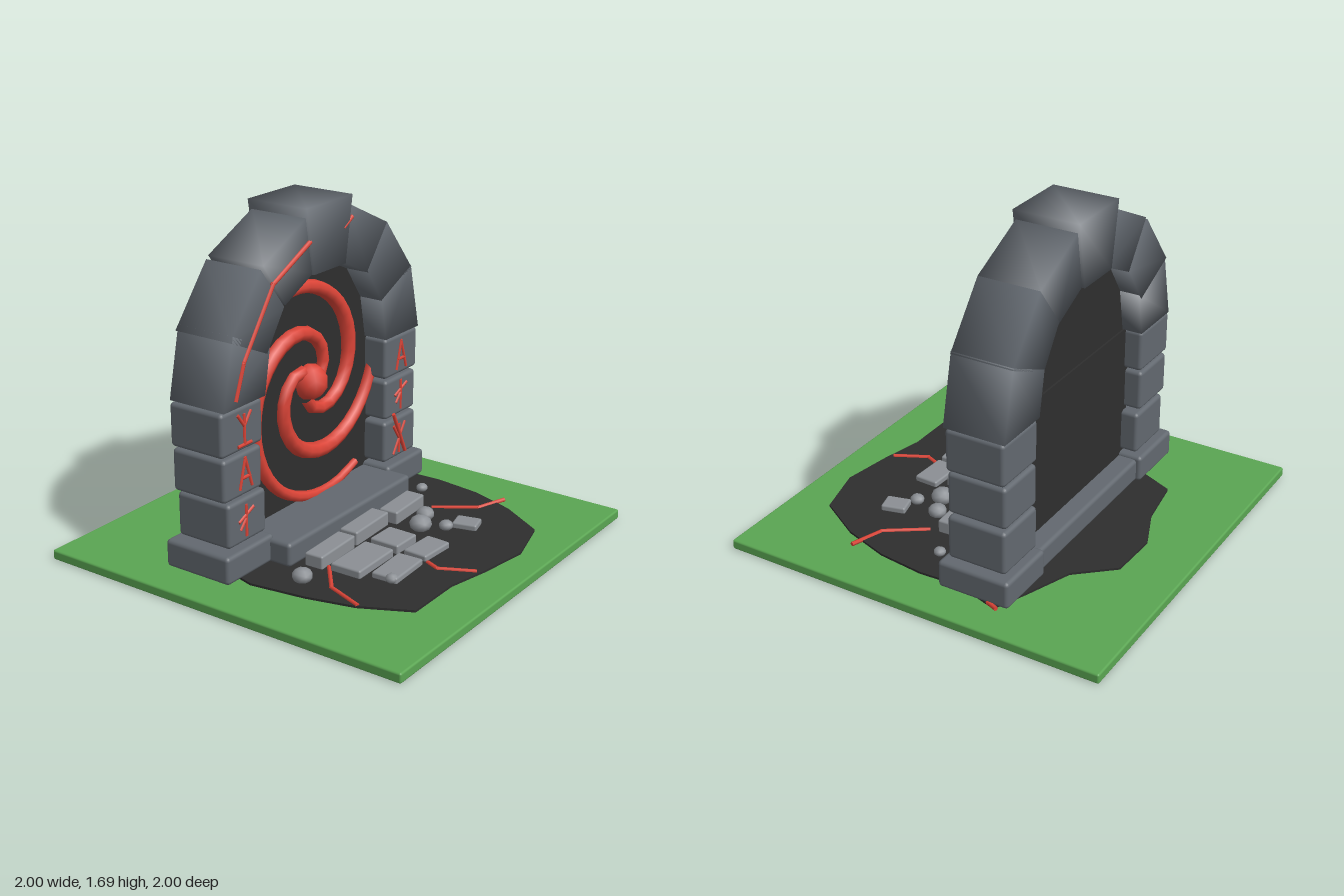
import * as THREE from 'three';
import { RoundedBoxGeometry } from 'three/addons/geometries/RoundedBoxGeometry.js';

const mat = (name, color, extra = {}) => {
  const m = new THREE.MeshStandardMaterial({ color, ...extra });
  m.name = name;
  return m;
};

export function createModel() {
  const root = new THREE.Group();
  root.name = 'ruinedPortal';
  const grass = mat('grass green', 0x5aa552);
  const stone = mat('dark stone', 0x62686f);
  const paving = mat('pale stone', 0x8b8f94);
  const scorch = mat('scorched black', 0x2e2e2e, { side: THREE.DoubleSide });
  const glow = mat('glowing red', 0xdb4437);

  const add = (name, geo, material, x = 0, y = 0, z = 0, parent = root) => {
    const m = new THREE.Mesh(geo, material);
    m.name = name;
    m.position.set(x, y, z);
    parent.add(m);
    return m;
  };
  // Rounded block given by its limits
  const block = (name, x0, x1, y0, y1, z0, z1, material = stone, r = 0.015) =>
    add(name, new RoundedBoxGeometry(x1 - x0, y1 - y0, z1 - z0, 2, r), material,
      (x0 + x1) / 2, (y0 + y1) / 2, (z0 + z1) / 2);
  // Chain of thin straight rods through a list of points
  const rods = (name, pts, r) => {
    const g = new THREE.Group();
    g.name = name;
    root.add(g);
    for (let i = 1; i < pts.length; i++) {
      const a = new THREE.Vector3(...pts[i - 1]), b = new THREE.Vector3(...pts[i]);
      const d = b.clone().sub(a), mid = a.clone().add(b).multiplyScalar(0.5);
      const m = add(name + 'Stroke', new THREE.CylinderGeometry(r, r, d.length() + r, 6), glow, mid.x, mid.y, mid.z, g);
      m.quaternion.setFromUnitVectors(new THREE.Vector3(0, 1, 0), d.normalize());
    }
  };

  // Ground and scorched patch
  block('ground', -1, 1, 0, 0.05, -1, 1, grass, 0.01);
  const outline = [[-0.48, -0.59], [-0.22, -0.63], [0, -0.72], [0.26, -0.71], [0.42, -0.53], [0.66, -0.44],
    [0.83, -0.37], [0.76, -0.15], [0.77, 0.07], [0.74, 0.31], [0.66, 0.55], [0.52, 0.78], [0.26, 0.85],
    [0, 0.81], [-0.22, 0.76], [-0.52, 0.76], [-0.64, 0.52], [-0.7, 0.28], [-0.74, 0], [-0.68, -0.22], [-0.57, -0.39]];
  const patch = new THREE.ExtrudeGeometry(new THREE.Shape(outline.map(([x, z]) => new THREE.Vector2(x, -z))),
    { depth: 0.012, bevelEnabled: false });
  add('scorchedPatch', patch.rotateX(-Math.PI / 2), scorch, 0, 0.049, 0);

  // Footings, threshold and pillars
  block('leftFooting', 0.48, 0.815, 0.055, 0.193, -0.435, -0.06, stone, 0.02);
  block('rightFooting', -0.82, -0.475, 0.055, 0.193, -0.435, -0.06, stone, 0.02);
  block('threshold', -0.51, 0.51, 0.055, 0.176, -0.41, 0.055, stone, 0.02);
  [[-0.765, -0.49, 0.205, 0.425], [-0.79, -0.515, 0.44, 0.65], [-0.8, -0.505, 0.662, 0.876],
    [0.495, 0.778, 0.205, 0.425], [0.5, 0.772, 0.44, 0.65], [0.495, 0.785, 0.662, 0.876]]
    .forEach(b => block('pillarBlock', ...b, -0.4, -0.095, stone, 0.02));

  // Arch stones: four-cornered wedges with softened shading
  const wedge = (name, pts, z0, z1) => {
    const pos = [];
    for (const z of [z0, z1]) pts.forEach(([x, y]) => pos.push(x, y, z));
    const idx = [4, 5, 6, 4, 6, 7, 0, 2, 1, 0, 3, 2];
    for (let i = 0; i < 4; i++) {
      const j = (i + 1) % 4;
      idx.push(i, j, j + 4, i, j + 4, i + 4);
    }
    const g = new THREE.BufferGeometry();
    g.setAttribute('position', new THREE.Float32BufferAttribute(pos, 3));
    g.setIndex(idx);
    g.computeVertexNormals();
    add(name, g, stone);
  };
  const side = [
    [[0.49, 0.88], [0.785, 0.88], [0.71, 1.22], [0.45, 1.1]],
    [[0.455, 1.09], [0.715, 1.21], [0.49, 1.49], [0.325, 1.28]],
    [[0.33, 1.27], [0.49, 1.49], [0.165, 1.645], [0.12, 1.37]]];
  side.forEach((pts, i) => {
    wedge('leftArchStone', pts, -0.405, -0.09);
    const shift = i === 1 ? -0.015 : 0;
    wedge('rightArchStone', pts.map(([x, y]) => [-x + shift, y + shift]).reverse(), -0.405, -0.09);
  });
  wedge('keystone', [[-0.125, 1.365], [0.125, 1.365], [0.18, 1.69], [-0.18, 1.69]], -0.42, -0.078);

  // Dark portal: lower panel and half-round top
  add('portalPanel', new THREE.BoxGeometry(1.08, 0.74, 0.09), scorch, 0, 0.51, -0.265);
  const half = new THREE.Shape();
  half.absarc(0, 0, 0.54, 0, Math.PI, false);
  add('portalTop', new THREE.ExtrudeGeometry(half, { depth: 0.08, bevelEnabled: false, curveSegments: 16 }),
    scorch, 0, 0.88, -0.3);

  // Swirl: three tapered spiral arms around a core
  const swirl = new THREE.Group();
  swirl.name = 'swirl';
  swirl.position.set(0, 0.78, -0.205);
  root.add(swirl);
  const pts = [];
  for (let i = 0; i <= 20; i++) {
    const t = i / 20, a = THREE.MathUtils.degToRad(10 + 295 * t), r = 0.085 + 0.585 * t;
    pts.push(new THREE.Vector3(Math.cos(a) * r, Math.sin(a) * r, 0));
  }
  const path = new THREE.CatmullRomCurve3(pts);
  const segs = 28, sides = 7;
  const arm = new THREE.TubeGeometry(path, segs, 0.042, sides);
  const p = arm.attributes.position, v = new THREE.Vector3();
  for (let i = 0; i < p.count; i++) {
    const t = Math.floor(i / (sides + 1)) / segs, c = path.getPointAt(t);
    const k = t < 0.3 ? 0.75 + t * 0.83 : 1 - (t - 0.3) * 0.75;
    v.fromBufferAttribute(p, i).sub(c).multiplyScalar(k).add(c);
    p.setXYZ(i, v.x, v.y, v.z);
  }
  for (let i = 0; i < 3; i++) add('swirlArm', arm, glow, 0, 0, 0, swirl).rotation.z = i * Math.PI * 2 / 3;
  add('swirlCore', new THREE.IcosahedronGeometry(0.093, 1), glow, 0, 0, 0, swirl);

  // Carved signs on the pillars
  const signs = {
    fork: [[[0, -0.075], [0, 0.07]], [[-0.045, 0.075], [0, 0.015], [0.045, 0.075]], [[-0.045, -0.075], [0.045, -0.075]]],
    peak: [[[-0.04, -0.07], [0, 0.075], [0.045, -0.07]], [[-0.025, -0.02], [0.03, -0.02]]],
    staff: [[[0, -0.075], [0, 0.075]], [[-0.05, 0.005], [0.05, 0.05]], [[-0.04, -0.035], [0, 0.01]]],
    cross: [[[-0.05, -0.075], [0.05, 0.075]], [[-0.05, 0.075], [0.05, -0.075]], [[0, -0.075], [0, 0.075]]]
  };
  [['fork', -0.64, 0.765], ['peak', -0.64, 0.55], ['staff', -0.64, 0.315],
    ['peak', 0.635, 0.765], ['staff', 0.635, 0.55], ['cross', 0.625, 0.31]].forEach(([kind, x, y]) =>
    signs[kind].forEach(s => rods('carvedSign', s.map(q => [x + q[0], y + q[1], -0.095]), 0.009)));

  // Glowing cracks in the stones and the ground
  rods('archCrack', [[-0.7, 0.92, -0.09], [-0.64, 1.08, -0.09], [-0.42, 1.39, -0.09], [-0.15, 1.525, -0.085]], 0.012);
  rods('keystoneCrack', [[0.12, 1.54, -0.085], [0.185, 1.578, -0.085]], 0.01);
  rods('pillarCrack', [[0.565, 0.455, -0.087], [0.61, 0.36, -0.087], [0.67, 0.23, -0.087]], 0.01);
  [[[-0.4, 0.2], [-0.56, 0.33], [-0.63, 0.52]], [[0.45, 0.23], [0.58, 0.42], [0.74, 0.475]],
    [[-0.09, 0.55], [-0.12, 0.62], [-0.04, 0.78]], [[0.76, -0.3], [0.81, -0.33], [0.83, -0.38]]]
    .forEach(c => rods('groundCrack', c.map(([x, z]) => [x, 0.06, z]), 0.011));

  // Paving slabs: centre x, z, width, depth, top height, turn
  [[-0.3, 0.135, 0.285, 0.1, 0.125, 0.04], [0.005, 0.12, 0.29, 0.1, 0.13, 0.04], [0.305, 0.14, 0.27, 0.105, 0.125, 0.05],
    [-0.275, 0.303, 0.29, 0.165, 0.1, 0.02], [-0.02, 0.307, 0.165, 0.16, 0.105, -0.01],
    [-0.245, 0.48, 0.245, 0.135, 0.09, 0.05], [0.01, 0.478, 0.2, 0.13, 0.09, -0.05], [0.365, 0.485, 0.1, 0.125, 0.09, 0.25]]
    .forEach(([x, z, w, d, top, turn]) => {
      block('pavingSlab', x - w / 2, x + w / 2, 0.055, top, z - d / 2, z + d / 2, paving, 0.01).rotation.y = turn;
    });

  // Loose rubble
  [[-0.58, 0.18, 0.05], [0.6, 0.07, 0.03], [0.2, 0.32, 0.057], [0.32, 0.27, 0.047], [0.275, 0.42, 0.036], [-0.35, 0.52, 0.032]]
    .forEach(([x, z, r], i) => {
      const m = add('rubble', new THREE.IcosahedronGeometry(r, 1), paving, x, 0.06 + r * 0.55, z);
      m.scale.y = 0.75;
      m.rotation.y = i;
    });
  return root;
}
